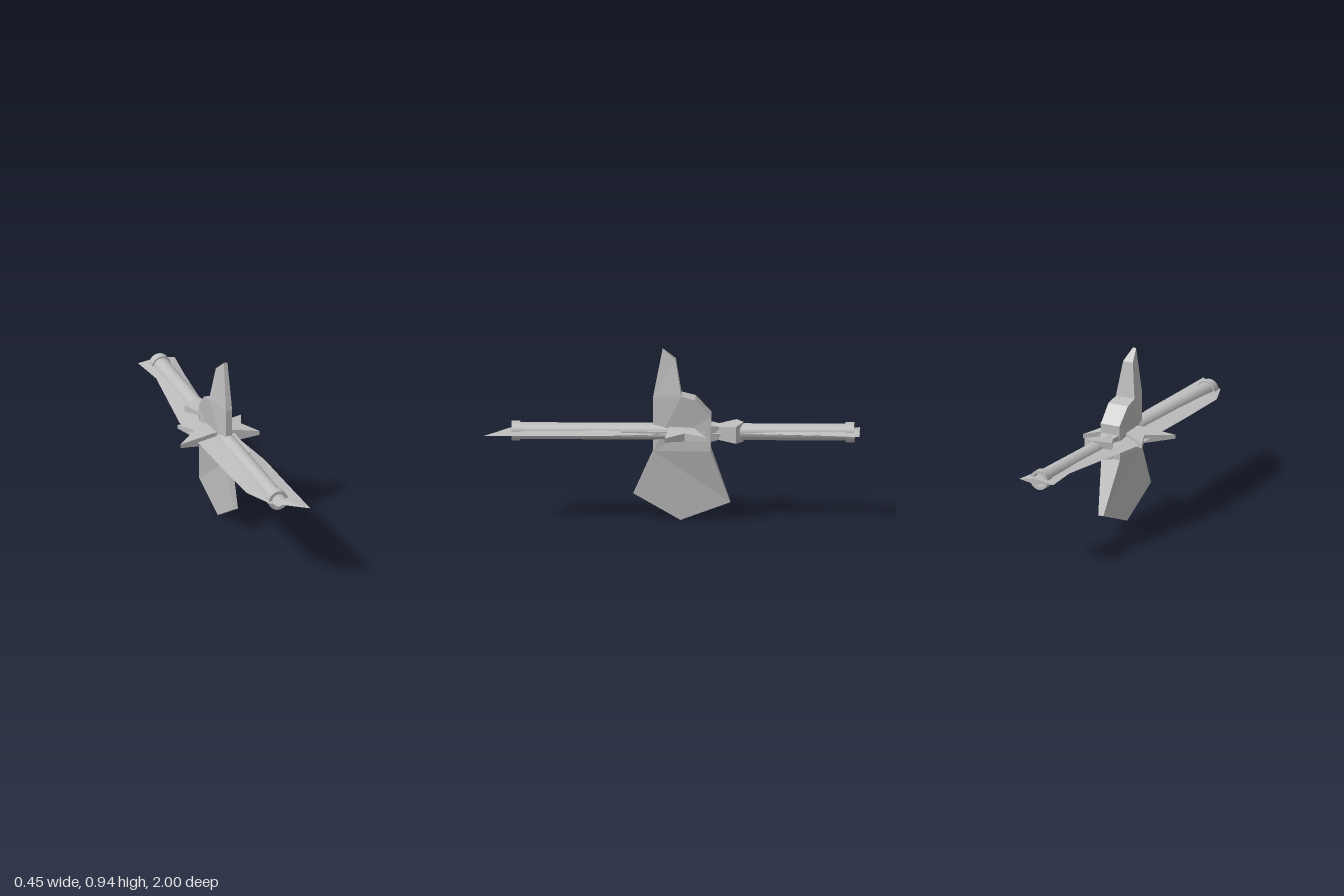
import * as THREE from 'three';

const CX = 0.027, CY = 0.485; // long axis of the shaft

export function createModel() {
  const group = new THREE.Group();
  const grey = new THREE.MeshStandardMaterial({ color: 0xbdbdbd });
  grey.name = 'stone grey';
  const tubeGrey = grey;
  tubeGrey.side = THREE.DoubleSide;

  function add(name, geometry) {
    const mesh = new THREE.Mesh(geometry, grey);
    mesh.name = name;
    group.add(mesh);
    return mesh;
  }

  function flat(positions, index) {
    let g = new THREE.BufferGeometry();
    g.setAttribute('position', new THREE.Float32BufferAttribute(positions, 3));
    g.setIndex(index);
    g = g.toNonIndexed();
    g.computeVertexNormals();
    return g;
  }

  // Slab from an outline of [a, b, half thickness]; place() maps it into space
  function slab(outline, place) {
    let pts = outline;
    let flatPts = pts.map(p => new THREE.Vector2(p[0], p[1]));
    if (THREE.ShapeUtils.isClockWise(flatPts)) {
      pts = [...pts].reverse();
      flatPts = flatPts.reverse();
    }
    const n = pts.length, pos = [], idx = [];
    for (const s of [1, -1]) for (const [a, b, h] of pts) pos.push(...place(a, b, h * s));
    for (const [i, j, k] of THREE.ShapeUtils.triangulateShape(flatPts, [])) {
      idx.push(i, j, k, n + i, n + k, n + j);
    }
    for (let i = 0; i < n; i++) {
      const j = (i + 1) % n;
      idx.push(i, n + i, j, j, n + i, n + j);
    }
    return flat(pos, idx);
  }
  const upright = (z, y, h) => [CX - h, y, z];
  const level = (x, z, h) => [x, CY - h, z];

  // Upright fin: narrow front edge, broad back, tapering to both ends
  add('finCrest', slab([
    [0.10, 0.68, 0.018], [0.05, 0.94, 0.01], [-0.02, 0.88, 0.03], [-0.05, 0.69, 0.057],
  ], upright));
  add('finBody', slab([
    [0.10, 0.38, 0.018], [0.10, 0.68, 0.018], [-0.05, 0.69, 0.057],
    [-0.125, 0.67, 0.06], [-0.21, 0.58, 0.057], [-0.205, 0.39, 0.057],
  ], upright));
  add('finKeel', slab([
    [0.10, 0.38, 0.018], [-0.205, 0.39, 0.057], [-0.31, 0.10, 0.016],
    [-0.045, 0, 0.01], [0.205, 0.145, 0.012],
  ], upright));

  // Blade: diamond cross-sections [z, left x, right x, half thickness]
  const rows = [
    [-1, -0.08, 0.13, 0.016], [-0.79, -0.055, 0.105, 0.02], [-0.36, -0.113, 0.07, 0.02],
    [-0.24, -0.13, 0.08, 0.02], [0, -0.125, 0.09, 0.02], [0.36, -0.115, 0.135, 0.02],
    [0.71, -0.098, 0.143, 0.014], [0.87, -0.03, 0.148, 0.01], [1, 0.148, 0.152, 0.001],
  ];
  const pos = [], idx = [0, 1, 2, 0, 2, 3];
  rows.forEach(([z, l, r, t], i) => {
    const mid = THREE.MathUtils.clamp(CX + 0.01, l, r);
    pos.push(l, CY, z, mid, CY + t, z, r, CY, z, mid, CY - t, z);
    if (i === 0) return;
    for (let k = 0; k < 4; k++) {
      const a = (i - 1) * 4 + k, b = (i - 1) * 4 + (k + 1) % 4;
      idx.push(a, a + 4, b, b, a + 4, b + 4);
    }
  });
  add('blade', flat(pos, idx));

  // Small bar lying on the blade beside the shaft
  const bar = add('bladeBar', new THREE.BoxGeometry(0.02, 0.026, 0.26));
  bar.position.set(0.08, CY, 0.14);

  // Hollow shaft with a ring at each end
  const shaft = add('shaft', new THREE.CylinderGeometry(0.045, 0.045, 1.8, 32, 1, true));
  shaft.rotation.x = Math.PI / 2;
  shaft.position.set(CX, CY, -0.06);
  for (const [name, z] of [['frontRing', 0.832], ['backRing', -0.948]]) {
    const shape = new THREE.Shape().absarc(0, 0, 0.054, 0, Math.PI * 2);
    shape.holes.push(new THREE.Path().absarc(0, 0, 0.036, 0, Math.PI * 2));
    const ring = add(name, new THREE.ExtrudeGeometry(shape, {
      depth: 0.046, bevelEnabled: false, curveSegments: 24,
    }));
    ring.position.set(CX, CY, z - 0.023);
  }

  // Forked spikes on each side of the fin
  add('leftSpikes', slab([
    [0.03, 0.02, 0.036], [0.08, 0.015, 0.034], [0.226, 0.035, 0.011], [0.158, -0.07, 0.022],
    [0.204, -0.19, 0.011], [0.085, -0.12, 0.03], [0.03, -0.12, 0.034],
  ], level));
  add('rightSpikes', slab([
    [0.03, 0.02, 0.036], [-0.03, 0.02, 0.034], [-0.228, 0.043, 0.011], [-0.105, -0.075, 0.022],
    [-0.156, -0.19, 0.011], [-0.03, -0.12, 0.03], [0.03, -0.12, 0.034],
  ], level));

  // Flared collar behind the fin, with a peaked back edge
  add('collar', slab([
    [CX - 0.057, -0.2, 0.045], [CX - 0.04, -0.25, 0.036], [CX - 0.088, -0.342, 0.046],
    [CX, -0.382, 0.054], [CX + 0.083, -0.342, 0.046], [CX + 0.04, -0.25, 0.036],
    [CX + 0.057, -0.2, 0.045],
  ], level));

  return group;
}
